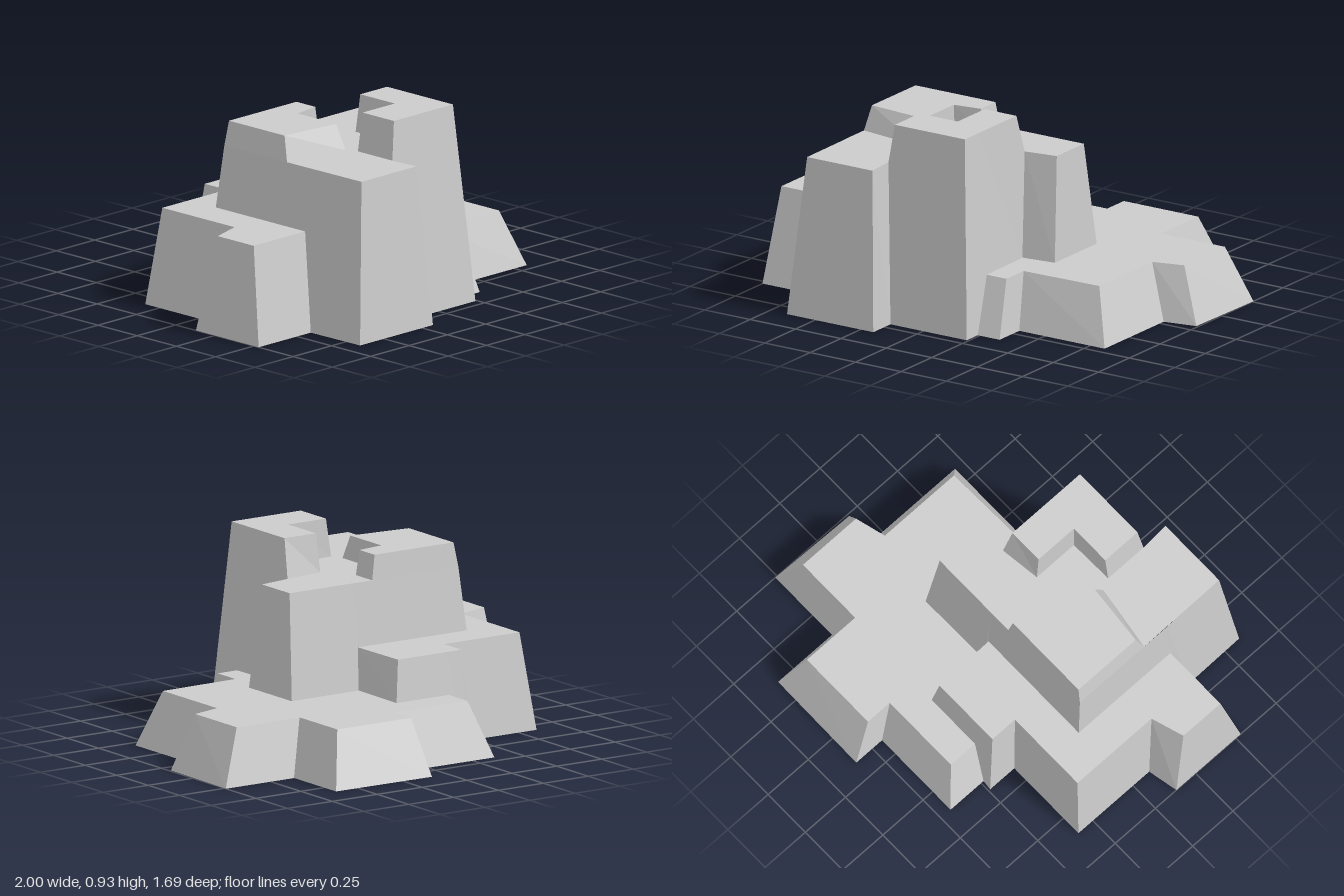
import * as THREE from 'three';

const material = new THREE.MeshStandardMaterial({
  color: 0xcccccc, flatShading: true, side: THREE.DoubleSide,
});

// Sloping wall along an outline, counter-clockwise from above.
// Each corner: [top x, top z, foot x, foot z, foot y (0 when left out)].
function wall(name, topY, corners, closed = false) {
  const pos = [];
  const count = closed ? corners.length : corners.length - 1;
  for (let i = 0; i < count; i++) {
    const [ax, az, bx, bz, by = 0] = corners[i];
    const [cx, cz, dx, dz, dy = 0] = corners[(i + 1) % corners.length];
    pos.push(ax, topY, az, bx, by, bz, dx, dy, dz);
    pos.push(ax, topY, az, dx, dy, dz, cx, topY, cz);
  }
  const geo = new THREE.BufferGeometry();
  geo.setAttribute('position', new THREE.Float32BufferAttribute(pos, 3));
  geo.computeVertexNormals();
  const mesh = new THREE.Mesh(geo, material);
  mesh.name = name;
  return mesh;
}

// Level ground at height y, bounded by [x, z] points.
function ledge(name, y, points) {
  const shape = new THREE.Shape(points.map(([x, z]) => new THREE.Vector2(x, -z)));
  const geo = new THREE.ShapeGeometry(shape).rotateX(-Math.PI / 2);
  const mesh = new THREE.Mesh(geo, material);
  mesh.position.y = y;
  mesh.name = name;
  return mesh;
}

// One terrace: its wall(s), and a ledge along the wall tops plus extra inner points.
function terrace(name, y, wallRuns, ledgePoints, closed = false) {
  const group = new THREE.Group();
  group.name = name;
  for (const run of wallRuns) group.add(wall(name + 'Wall', y, run, closed));
  group.add(ledge(name + 'Ledge', y, ledgePoints));
  return group;
}

const tops = (run) => run.map(([x, z]) => [x, z]);

export function createModel() {
  const model = new THREE.Group();
  model.name = 'steppedRock';
  const LOW = 0.26, MID = 0.455, HIGH = 0.75, CRAG = 0.865, PEAK = 0.93;

  // Low terrace on the right and back
  const low = [
    [0.222, 0.51, 0.24, 0.61], [0.33, 0.51, 0.36, 0.61], [0.33, 0.37, 0.36, 0.45],
    [0.74, 0.36, 0.83, 0.45], [0.74, -0.07, 0.83, -0.03], [0.89, -0.11, 0.99, -0.06],
    [0.89, -0.44, 1, -0.51], [0.54, -0.44, 0.62, -0.51], [0.54, -0.74, 0.62, -0.845],
    [0.13, -0.74, 0.09, -0.85], [0.13, -0.605, 0.09, -0.69],
    [-0.28, -0.605, -0.37, -0.69], [-0.28, -0.455, -0.37, -0.485],
  ];
  model.add(terrace('lowTerrace', LOW, [low], [
    ...tops(low), [0.01, -0.455], [0.005, -0.145],
    [0.38, -0.15], [0.38, 0.19], [0.215, 0.21],
  ]));

  // Middle terrace on the left
  const mid = [
    [-0.01, -0.12, 0.005, -0.145, LOW], [-0.015, -0.43, 0.01, -0.455, LOW],
    [-0.28, -0.43, -0.28, -0.455, LOW], [-0.36, -0.43, -0.37, -0.485],
    [-0.37, -0.43, -0.42, -0.49], [-0.37, -0.29, -0.42, -0.34],
    [-0.79, -0.29, -0.85, -0.34], [-0.79, 0.17, -0.85, 0.1],
    [-0.95, 0.22, -1, 0.13], [-0.95, 0.45, -1, 0.53], [-0.615, 0.45, -0.66, 0.53],
  ];
  model.add(terrace('middleTerrace', MID, [mid], [...tops(mid), [-0.615, -0.12]]));

  // High terrace: front buttress, then right shoulder and back
  const buttress = [
    [-0.59, -0.09, -0.615, -0.12, MID], [-0.59, 0.45, -0.615, 0.45, MID],
    [-0.588, 0.5, -0.66, 0.53], [-0.585, 0.78, -0.655, 0.84],
    [-0.225, 0.78, -0.18, 0.84], [-0.235, 0.635, -0.18, 0.7],
  ];
  const shoulder = [
    [0.19, 0.155, 0.215, 0.21, LOW], [0.35, 0.13, 0.38, 0.19, LOW],
    [0.35, -0.09, 0.38, -0.15, LOW], [0, -0.09, 0.005, -0.145, LOW],
    [-0.01, -0.09, -0.01, -0.12, MID], [-0.59, -0.09, -0.615, -0.12, MID],
  ];
  model.add(terrace('highTerrace', HIGH, [buttress, shoulder], [
    [-0.59, 0.31], ...tops(buttress).slice(2),
    [-0.235, 0.415], [-0.01, 0.41], [-0.01, 0.18],
    ...tops(shoulder).slice(0, 3),
    [-0.11, -0.09], [-0.11, 0.04], [-0.26, 0.06], [-0.26, 0.36],
  ]));

  // Crag on the back left corner
  const crag = [
    [-0.57, -0.08, -0.59, -0.09, HIGH], [-0.57, 0.275, -0.59, 0.31, HIGH],
    [-0.265, 0.305, -0.26, 0.36, HIGH], [-0.265, 0.06, -0.26, 0.06, HIGH],
    [-0.13, 0.04, -0.11, 0.04, HIGH], [-0.13, -0.08, -0.11, -0.09, HIGH],
  ];
  model.add(terrace('crag', CRAG, [crag], tops(crag), true));

  // Summit tower with an L-shaped top
  const summit = [
    [-0.21, 0.62, -0.235, 0.635, HIGH], [-0.205, 0.62, -0.18, 0.7],
    [0.175, 0.62, 0.24, 0.7], [0.175, 0.6, 0.24, 0.61],
    [0.175, 0.51, 0.222, 0.51, LOW], [0.175, 0.21, 0.215, 0.21, LOW],
    [0.175, 0.2, 0.19, 0.155, HIGH], [0, 0.2, -0.01, 0.18, HIGH],
    [0, 0.42, -0.01, 0.41, HIGH], [-0.21, 0.42, -0.235, 0.415, HIGH],
  ];
  model.add(terrace('summit', PEAK, [summit], tops(summit), true));

  return model;
}
